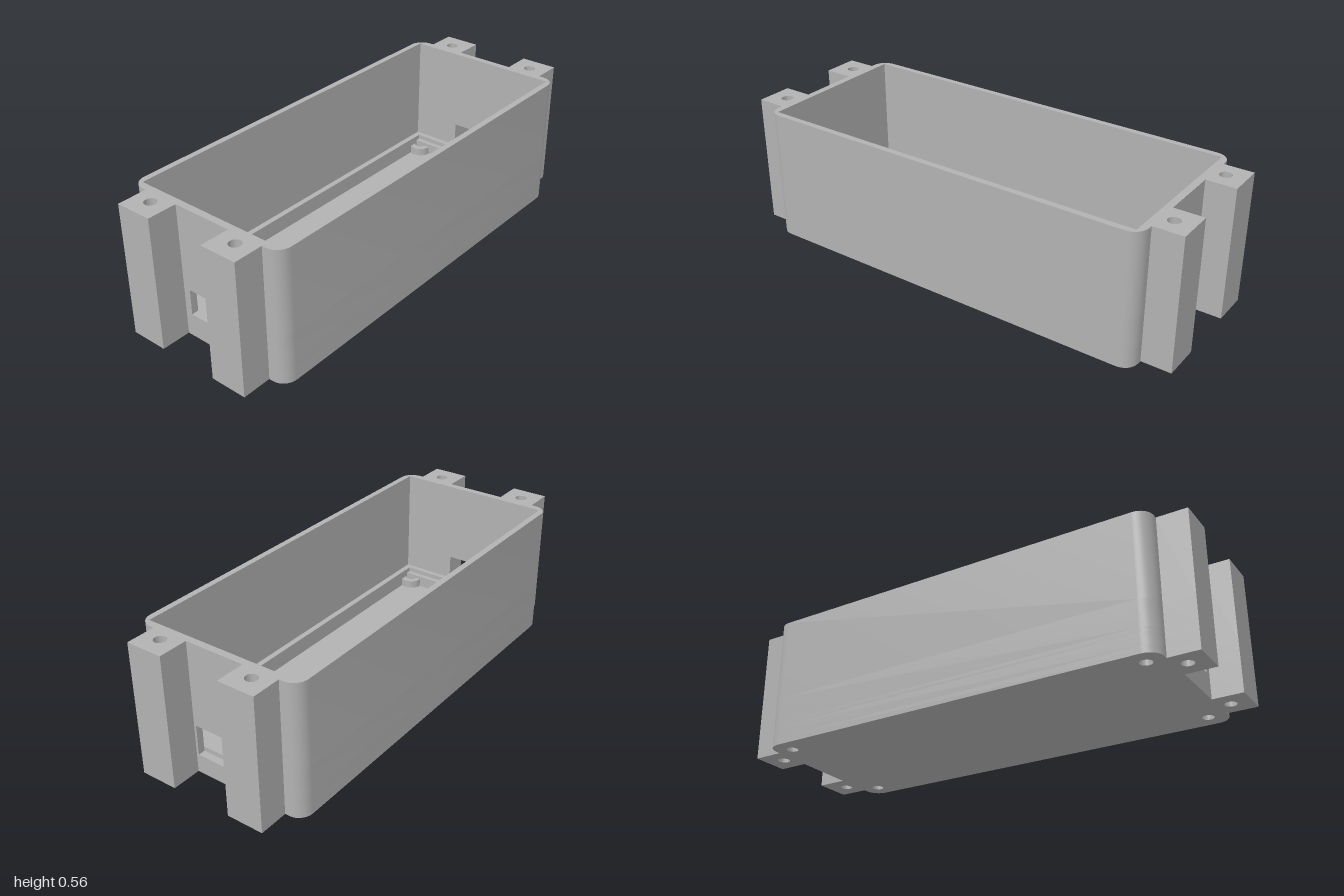
import * as THREE from 'three';
import { toCreasedNormals } from 'three/addons/utils/BufferGeometryUtils.js';

const W = 0.875, D = 0.366, H = 0.565, R = 0.06;   // outer shell
const IW = 0.845, ID = 0.34;                        // main cavity
const LUG = { x: 1, z0: 0.13, z1: 0.288, hx: 0.92, hz: 0.21, r: 0.025 };
const POST = { x: 0.8, z: 0.29, r: 0.05, hole: 0.025 };
const SILL = 0.1, LINTEL = 0.21, NOTCH = 0.08;      // window heights
const WIN_L = 0.12, WIN_R = 0.1;                    // window half widths at +x and -x

export function createModel() {
  const model = new THREE.Group();
  const grey = new THREE.MeshStandardMaterial({ color: 0xb2b2b2 });
  grey.name = 'grey plastic';

  // Extrude a plan shape (x, z) from height y0 to y1
  function layer(name, shape, y0, y1) {
    let geo = new THREE.ExtrudeGeometry(shape, { depth: y1 - y0, bevelEnabled: false, curveSegments: 16 });
    geo.rotateX(-Math.PI / 2);
    geo = toCreasedNormals(geo, 0.6);
    const mesh = new THREE.Mesh(geo, grey);
    mesh.name = name;
    mesh.position.y = y0;
    model.add(mesh);
  }

  const circle = (x, z, r) => new THREE.Path().absarc(x, z, r, 0, Math.PI * 2, true);
  const rect = (w, d) => new THREE.Path([[-w, -d], [-w, d], [w, d], [w, -d]].map(p => new THREE.Vector2(...p)));

  // Outer edge of one half (z > 0), from +x end to -x end, with both lugs
  function halfEdge() {
    const pts = [[W, LUG.z0], [LUG.x, LUG.z0], [LUG.x, LUG.z1], [W, LUG.z1]];
    for (let i = 0; i <= 8; i++) {
      const a = (i / 8) * Math.PI / 2;
      pts.push([W - R + R * Math.cos(a), D - R + R * Math.sin(a)]);
    }
    return [...pts, ...pts.map(([x, z]) => [-x, z]).reverse()];
  }
  const toShape = pts => new THREE.Shape(pts.map(([x, z]) => new THREE.Vector2(x, z)));

  // Full plan with lug holes, optionally notched under the +x window
  function plan(notched) {
    const edge = halfEdge();
    const pts = [...edge, ...edge.map(([x, z]) => [x, -z]).reverse()];
    if (notched) pts.push([W, -WIN_L], [IW, -WIN_L], [IW, WIN_L], [W, WIN_L]);
    const shape = toShape(pts);
    for (const sx of [-1, 1]) for (const sz of [-1, 1])
      shape.holes.push(circle(sx * LUG.hx, sz * LUG.hz, LUG.r));
    return shape;
  }

  // Floor with screw holes
  const floor = plan(false);
  for (const sx of [-1, 1]) for (const sz of [-1, 1])
    floor.holes.push(circle(sx * POST.x, sz * POST.z, POST.hole - 0.0005));
  layer('floor', floor, 0, 0.03);

  // Stepped lower walls
  const lower = plan(false);
  lower.holes.push(rect(0.8, 0.315));
  layer('lowerWall', lower, 0.03, NOTCH);
  const ledge = plan(true);
  ledge.holes.push(rect(0.822, 0.315));
  layer('ledgeWall', ledge, NOTCH, SILL);

  // Wall halves on either side of the end windows
  for (const s of [1, -1]) {
    const pts = [[W, WIN_L], ...halfEdge(), [-W, WIN_R], [-IW, WIN_R], [-IW, ID], [IW, ID], [IW, WIN_L]];
    const half = toShape(pts.map(([x, z]) => [x, s * z]));
    for (const sx of [-1, 1]) half.holes.push(circle(sx * LUG.hx, s * LUG.hz, LUG.r));
    layer(s > 0 ? 'backWindowWall' : 'frontWindowWall', half, SILL, LINTEL);
  }

  // Upper wall and rim
  const upper = plan(false);
  upper.holes.push(rect(IW, ID));
  layer('upperWall', upper, LINTEL, H);

  // Corner screw posts against the lower walls
  for (const sx of [-1, 1]) for (const sz of [-1, 1]) {
    const pts = [];
    const arc = (r, a0, a1) => {
      for (let i = 0; i <= 12; i++) {
        const a = a0 + (a1 - a0) * i / 12;
        pts.push([sx * (POST.x + r * Math.cos(a)), sz * (POST.z + r * Math.sin(a))]);
      }
    };
    arc(POST.r, Math.PI * 1.5, Math.PI * 5 / 6);
    pts.push([sx * POST.x, sz * 0.3155]);
    arc(POST.hole, Math.PI / 2, Math.PI * 1.5);
    layer('screwPost', toShape(pts), 0.03, 0.065);
  }
  return model;
}
